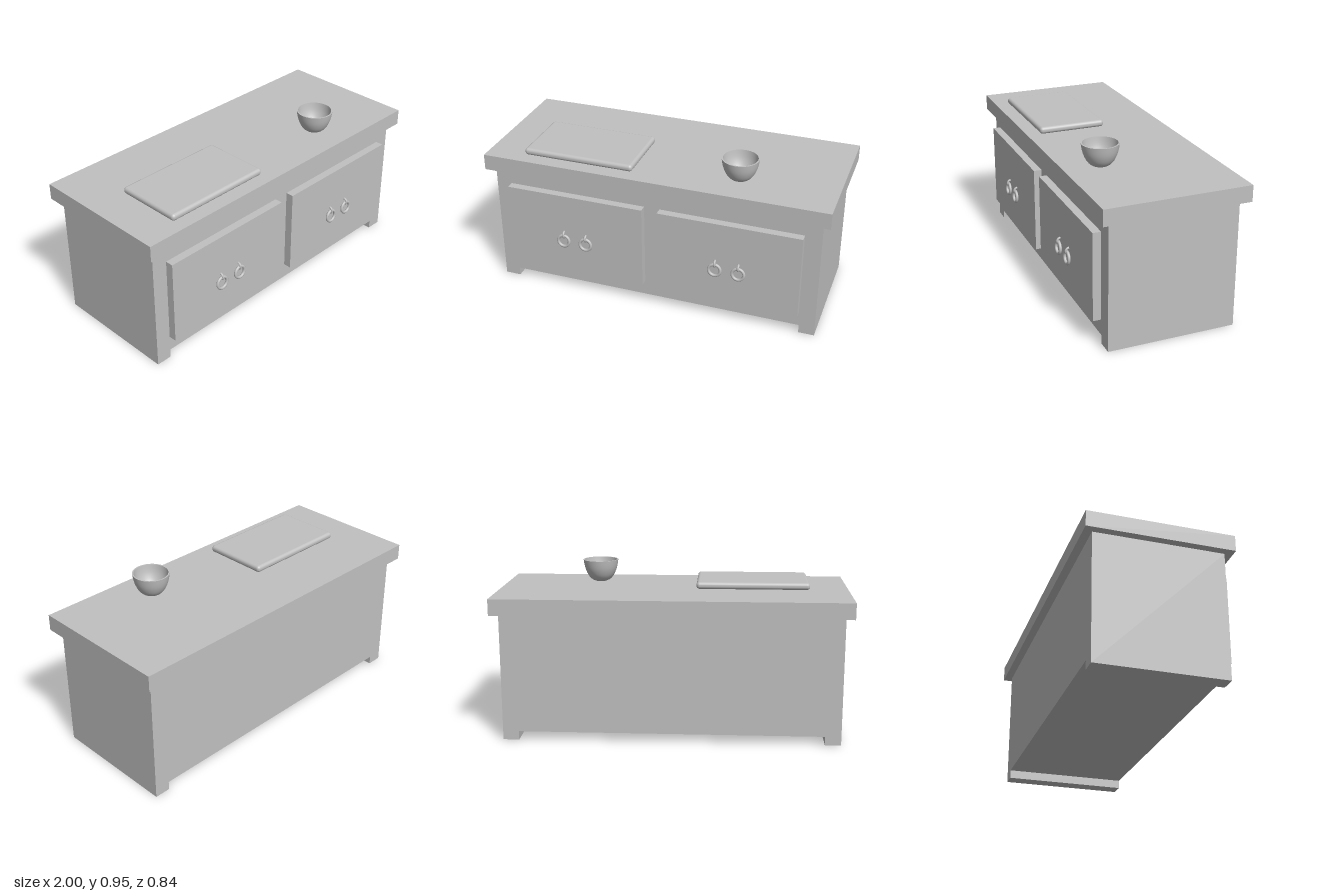
import * as THREE from 'three';
import { RoundedBoxGeometry } from 'three/addons/geometries/RoundedBoxGeometry.js';

export function createModel() {
  const model = new THREE.Group();
  model.name = 'sideboard';
  const grey = new THREE.MeshStandardMaterial({ name: 'plain grey', color: 0xc0c0c0 });
  const greyInside = new THREE.MeshStandardMaterial({ name: 'plain grey', color: 0xc0c0c0 });
  greyInside.side = THREE.DoubleSide;

  const add = (name, geometry, parent = model, material = grey) => {
    const mesh = new THREE.Mesh(geometry, material);
    mesh.name = name;
    parent.add(mesh);
    return mesh;
  };
  // Box given by its limits on each axis
  const box = (name, [x0, x1], [y0, y1], [z0, z1]) =>
    add(name, new THREE.BoxGeometry(x1 - x0, y1 - y0, z1 - z0))
      .position.set((x0 + x1) / 2, (y0 + y1) / 2, (z0 + z1) / 2);

  // Cabinet body with a raised underside between two full-depth runners
  const outline = new THREE.Shape([
    [-0.955, 0], [-0.865, 0], [-0.865, 0.05], [0.865, 0.05],
    [0.865, 0], [0.955, 0], [0.955, 0.73], [-0.955, 0.73],
  ].map(([x, y]) => new THREE.Vector2(x, y)));
  add('cabinetBody', new THREE.ExtrudeGeometry(outline, { depth: 0.727, bevelEnabled: false }))
    .position.z = -0.375;

  // Overhanging top and the two raised door panels
  box('tabletop', [-1, 1], [0.73, 0.822], [-0.421, 0.398]);
  box('rightDoor', [-0.865, -0.047], [0.14, 0.639], [0.352, 0.398]);
  box('leftDoor', [0.043, 0.861], [0.14, 0.639], [0.352, 0.398]);

  // Ring pulls hanging from small staples
  for (const x of [-0.525, -0.39, 0.384, 0.519]) {
    const pull = new THREE.Group();
    pull.name = 'ringPull';
    pull.position.set(x, 0.35, 0.398);
    model.add(pull);
    const ring = add('ring', new THREE.TorusGeometry(0.034, 0.0085, 12, 32), pull);
    ring.position.z = 0.0125;
    ring.rotation.x = -0.06;
    const staple = add('staple', new THREE.TorusGeometry(0.018, 0.0065, 10, 16, Math.PI), pull);
    // Half ring turned so that it bulges out of the door
    staple.rotation.set(0, -Math.PI / 2, -Math.PI / 2, 'YXZ');
    staple.position.y = 0.037;
  }

  // Rounded slab lying on the top
  add('roundedSlab', new RoundedBoxGeometry(0.65, 0.04, 0.393, 5, 0.018))
    .position.set(-0.455, 0.842, 0.126);

  // Open bowl: outer wall, rim and inner wall
  const profile = new THREE.SplineCurve([
    [0.032, 0], [0.056, 0.012], [0.076, 0.035], [0.091, 0.067], [0.099, 0.097], [0.104, 0.129],
  ].map(([r, y]) => new THREE.Vector2(r, y)));
  const outer = [new THREE.Vector2(0, 0), ...profile.getPoints(14)];
  const inner = profile.getPoints(14).reverse()
    .map((p) => new THREE.Vector2(p.x - 0.008, p.y === 0.129 ? p.y : p.y * 0.93 + 0.009));
  inner.push(new THREE.Vector2(0, 0.009));
  const rim = [outer[outer.length - 1], inner[0]];
  const bowl = new THREE.Group();
  bowl.name = 'bowl';
  bowl.position.set(0.452, 0.822, 0.19);
  model.add(bowl);
  [['bowlOutside', outer], ['bowlRim', rim], ['bowlInside', inner]].forEach(([name, points]) =>
    add(name, new THREE.LatheGeometry(points, 48), bowl, greyInside));

  return model;
}
